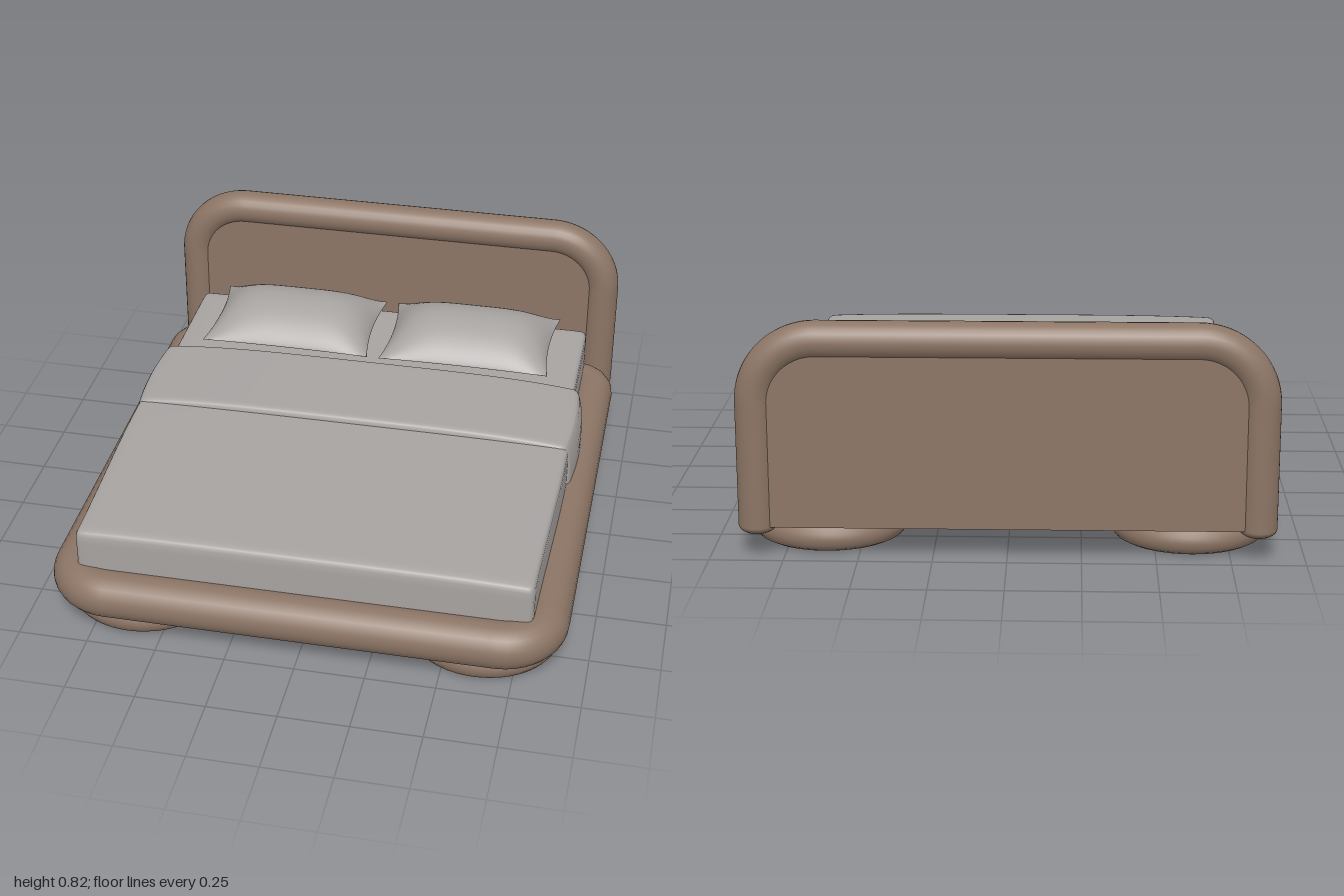
import * as THREE from 'three';
import { mergeVertices } from 'three/addons/utils/BufferGeometryUtils.js';

// Weld a geometry and give it smooth normals
function smooth(geo) {
  geo.deleteAttribute('uv');
  geo.deleteAttribute('normal');
  const welded = mergeVertices(geo, 1e-5);
  welded.computeVertexNormals();
  return welded;
}

// Move every vertex by a rule
function warp(geo, rule) {
  const pos = geo.attributes.position;
  const p = new THREE.Vector3();
  for (let i = 0; i < pos.count; i++) {
    rule(p.fromBufferAttribute(pos, i));
    pos.setXYZ(i, p.x, p.y, p.z);
  }
  return geo;
}

// Round-edged box between two corners, then bent by a rule
function softBox(min, max, r, rule = () => {}) {
  const half = max.clone().sub(min).multiplyScalar(0.5);
  const mid = max.clone().add(min).multiplyScalar(0.5);
  const inner = half.clone().subScalar(r);
  const core = new THREE.Vector3();
  const crowd = (t) => Math.sin(t * Math.PI / 2); // more rows near the edges
  const geo = warp(new THREE.BoxGeometry(2, 2, 2, 28, 10, 28), (p) => {
    p.set(crowd(p.x), crowd(p.y), crowd(p.z)).multiply(half);
    core.copy(p).clamp(inner.clone().negate(), inner);
    p.sub(core).setLength(r).add(core).add(mid);
    rule(p);
  });
  return smooth(geo);
}

// Outline with rounded corners, radius r0 at the bottom and r1 at the top
function outline(x, y0, y1, r0, r1) {
  const s = new THREE.Shape();
  s.moveTo(-x, y0 + r0);
  s.lineTo(-x, y1 - r1);
  s.absarc(-x + r1, y1 - r1, r1, Math.PI, Math.PI / 2, true);
  s.lineTo(x - r1, y1);
  s.absarc(x - r1, y1 - r1, r1, Math.PI / 2, 0, true);
  s.lineTo(x, y0 + r0);
  if (r0 > 0) {
    s.absarc(x - r0, y0 + r0, r0, 0, -Math.PI / 2, true);
    s.lineTo(-x + r0, y0);
    s.absarc(-x + r0, y0 + r0, r0, -Math.PI / 2, -Math.PI, true);
  }
  return s;
}

// Round bolster following an outline
function bolster(shape, radius, closed) {
  const pts = shape.getSpacedPoints(240).map((p) => new THREE.Vector3(p.x, p.y, 0));
  if (closed) pts.pop();
  return new THREE.TubeGeometry(new THREE.CatmullRomCurve3(pts, closed), 280, radius, 24, closed);
}

export function createModel() {
  const model = new THREE.Group();
  const brown = new THREE.MeshStandardMaterial({ color: 0x8c7565 });
  brown.name = 'brown upholstery';
  const grey = new THREE.MeshStandardMaterial({ color: 0xa7a3a1 });
  grey.name = 'grey linen';
  const V = (x, y, z) => new THREE.Vector3(x, y, z);

  const add = (name, geo, material, parent = model) => {
    const mesh = new THREE.Mesh(geo, material);
    mesh.name = name;
    parent.add(mesh);
    return mesh;
  };

  // Base frame: padded rail around a flat platform, drawn flat and laid down
  const frame = new THREE.Group();
  frame.name = 'frame';
  frame.rotation.x = -Math.PI / 2;
  model.add(frame);
  const rail = outline(0.84, -0.915, 0.79, 0.15, 0.06);
  add('sideRail', bolster(rail, 0.085, true), brown, frame).position.z = 0.16;
  const platform = new THREE.ExtrudeGeometry(rail, { depth: 0.13, bevelEnabled: false, curveSegments: 16 });
  add('platform', platform, brown, frame).position.z = 0.08;

  // Headboard: padded arch with a slightly recessed panel
  const headboard = new THREE.Group();
  headboard.name = 'headboard';
  headboard.position.z = -0.935;
  model.add(headboard);
  const arch = outline(0.84, 0.11, 0.75, 0, 0.21);
  add('headboardArch', bolster(arch, 0.065, false), brown, headboard);
  const panel = new THREE.ExtrudeGeometry(arch, { depth: 0.09, bevelEnabled: false, curveSegments: 24 });
  add('headboardPanel', panel, brown, headboard).position.z = -0.045;
  for (const side of [-1, 1]) {
    const cap = add('archEnd', new THREE.SphereGeometry(0.065, 24, 16), brown, headboard);
    cap.position.set(side * 0.84, 0.11, 0);
    cap.scale.y = 0.5;
  }

  // Four oval cushion feet
  const footProfile = [
    [0, 0], [0.8, 0], [0.87, 0.002], [0.94, 0.012], [0.985, 0.028], [1, 0.048],
    [0.985, 0.068], [0.94, 0.085], [0.85, 0.098], [0, 0.1],
  ].map(([x, y]) => new THREE.Vector2(x, y));
  const footGeo = new THREE.LatheGeometry(footProfile, 48);
  footGeo.scale(0.27, 1, 0.238);
  for (const x of [-0.62, 0.62]) {
    for (const z of [-0.7, 0.705]) add('foot', footGeo, brown).position.set(x, 0, z);
  }

  // Mattress
  add('mattress', softBox(V(-0.8, 0.18, -0.85), V(0.8, 0.385, 0.86), 0.03), grey);

  // Blanket, narrowing and sinking a little towards the foot end
  add('blanket', softBox(V(-0.825, 0.18, -0.33), V(0.825, 0.408, 0.885), 0.03, (p) => {
    const t = THREE.MathUtils.smoothstep(p.z, 0.1, 0.9);
    p.x *= 1 - 0.02 * t;
    if (p.y > 0.3) p.y -= 0.012 * t + 0.01 * Math.abs(p.x / 0.82) ** 4;
  }), grey);

  // Folded-back band, crowned on top and bowed at the sides
  add('blanketFold', softBox(V(-0.85, 0.2, -0.368), V(0.85, 0.432, 0.055), 0.025, (p) => {
    const u = Math.abs(p.x / 0.85);
    const v = (p.z + 0.157) / 0.21;
    p.x *= 1 - 0.018 * v * v;
    if (p.y > 0.3) {
      p.y -= 0.026 * u ** 4;
      p.x *= 1 - 0.022 * THREE.MathUtils.smoothstep(p.y, 0.3, 0.42);
    }
  }), grey);

  // Pillows: plump lens shapes with pinched sides
  const pillowGeo = smooth(warp(new THREE.BoxGeometry(2, 2, 2, 32, 1, 24), (p) => {
    const u = Math.sin(p.x * Math.PI / 2);
    const v = Math.sin(p.z * Math.PI / 2);
    const puff = Math.max(0, (1 - u ** 4) * (1 - v * v)) ** 0.8;
    p.y = p.y > 0 ? 0.117 * puff : -0.037 * puff;
    p.x = 0.333 * u * (1 - 0.06 * (1 - v * v));
    p.z = 0.22 * v * (1 - 0.035 * (1 - u * u));
  }));
  for (const side of [-1, 1]) {
    add('pillow', pillowGeo, grey).position.set(side * 0.356, 0.418, -0.627);
  }

  return model;
}
